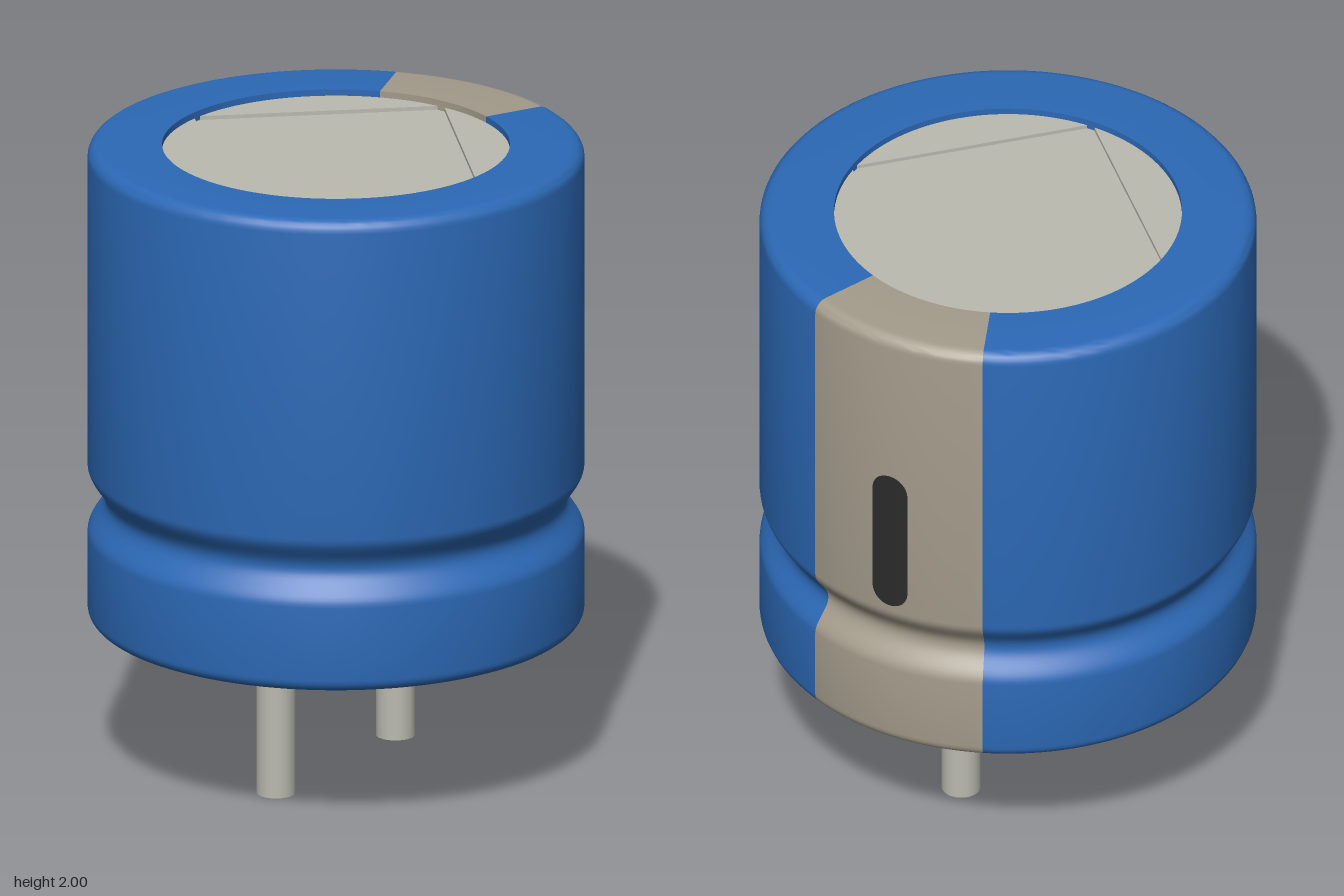
import * as THREE from 'three';
import { toCreasedNormals } from 'three/addons/utils/BufferGeometryUtils.js';

const R = 0.757, BOTTOM = 0.487, TOP = 2, INNER = 0.53, FILLET = 0.04;

function material(color) {
  const m = new THREE.MeshStandardMaterial();
  m.color.set(color);
  return m;
}

// Sleeve outline from the bottom recess, around the outside, to the top recess
function sleeveProfile() {
  const pts = [[INNER, BOTTOM + 0.03], [INNER, BOTTOM]];
  const arc = (cy, from) => {
    for (let i = 0; i <= 6; i++) {
      const a = from + (i / 6) * Math.PI / 2;
      pts.push([R - FILLET + FILLET * Math.cos(a), cy + FILLET * Math.sin(a)]);
    }
  };
  arc(BOTTOM + FILLET, -Math.PI / 2);
  // crimped groove
  for (let i = 0; i <= 20; i++) {
    const t = i / 10 - 1;
    pts.push([R - 0.026 * (1 + Math.cos(Math.PI * t)), 0.87 + 0.11 * t]);
  }
  arc(TOP - FILLET, 0);
  pts.push([INNER, TOP], [INNER, TOP - 0.03]);
  return pts.map(([x, y]) => new THREE.Vector2(x, y));
}

// Rounded slot shape wrapped on the side of the can
function polarityMarkGeometry(half, y0, y1) {
  const rows = 32;
  const geo = new THREE.PlaneGeometry(2, 2, 8, rows);
  const p = geo.attributes.position, n = geo.attributes.normal;
  const mid = (y0 + y1) / 2, straight = (y1 - y0) / 2 - half;
  for (let i = 0; i < p.count; i++) {
    const a = p.getY(i) * Math.PI / 2;
    const y = mid + Math.sign(Math.round(a * 1e6)) * straight + half * Math.sin(a);
    const angle = p.getX(i) * half * Math.cos(a) / R;
    const c = Math.cos(angle), s = -Math.sin(angle);
    p.setXYZ(i, (R + 0.002) * c, y, (R + 0.002) * s);
    n.setXYZ(i, c, 0, s);
  }
  return geo;
}

// Quarter of the lid, set back from both axes to leave the scored cross
function lidQuarterGeometry(gap, depth) {
  const a = Math.asin(gap / INNER);
  const shape = new THREE.Shape();
  shape.moveTo(gap, gap);
  shape.absarc(0, 0, INNER, a, Math.PI / 2 - a, false);
  shape.closePath();
  const geo = new THREE.ExtrudeGeometry(shape, { depth, bevelEnabled: false, curveSegments: 32 });
  return geo.rotateX(-Math.PI / 2);
}

export function createModel() {
  const model = new THREE.Group();
  const blue = material(0x2c69b6), tan = material(0xa39b8b);
  const metal = material(0xbabab1), dark = material(0x2b2b2b);
  const add = (name, geo, mat, parent = model) => {
    const mesh = new THREE.Mesh(geo, mat);
    mesh.name = name;
    parent.add(mesh);
    return mesh;
  };

  // Sleeve and its 45 degree stripe on the +x side
  const profile = sleeveProfile(), stripe = Math.PI / 4;
  const sleeve = (segments, start, length) =>
    toCreasedNormals(new THREE.LatheGeometry(profile, segments, start, length), 0.6);
  add('sleeve', sleeve(112, Math.PI / 2 + stripe / 2, Math.PI * 2 - stripe), blue);
  add('stripe', sleeve(16, Math.PI / 2 - stripe / 2, stripe), tan);
  add('polarityMark', polarityMarkGeometry(0.06, 1.0, 1.485), dark);

  // Recessed lid with scored cross
  const lid = new THREE.Group();
  lid.name = 'lid';
  model.add(lid);
  add('lidBase', new THREE.CylinderGeometry(INNER, INNER, 0.02, 96), metal, lid).position.y = TOP - 0.042;
  const quarter = lidQuarterGeometry(0.013, 0.012);
  for (let i = 0; i < 4; i++) {
    const q = add('lidQuarter', quarter, metal, lid);
    q.position.y = TOP - 0.032;
    q.rotation.y = i * Math.PI / 2;
  }

  // Recessed base plug
  add('basePlug', new THREE.CylinderGeometry(INNER, INNER, 0.03, 96), blue).position.y = BOTTOM + 0.045;

  // Pins, one slightly longer
  for (const [name, x, end] of [['longPin', -0.303, 0], ['shortPin', 0.3, 0.027]]) {
    const length = BOTTOM + 0.04 - end;
    add(name, new THREE.CylinderGeometry(0.06, 0.06, length, 32), metal).position.set(x, end + length / 2, 0);
  }
  return model;
}
